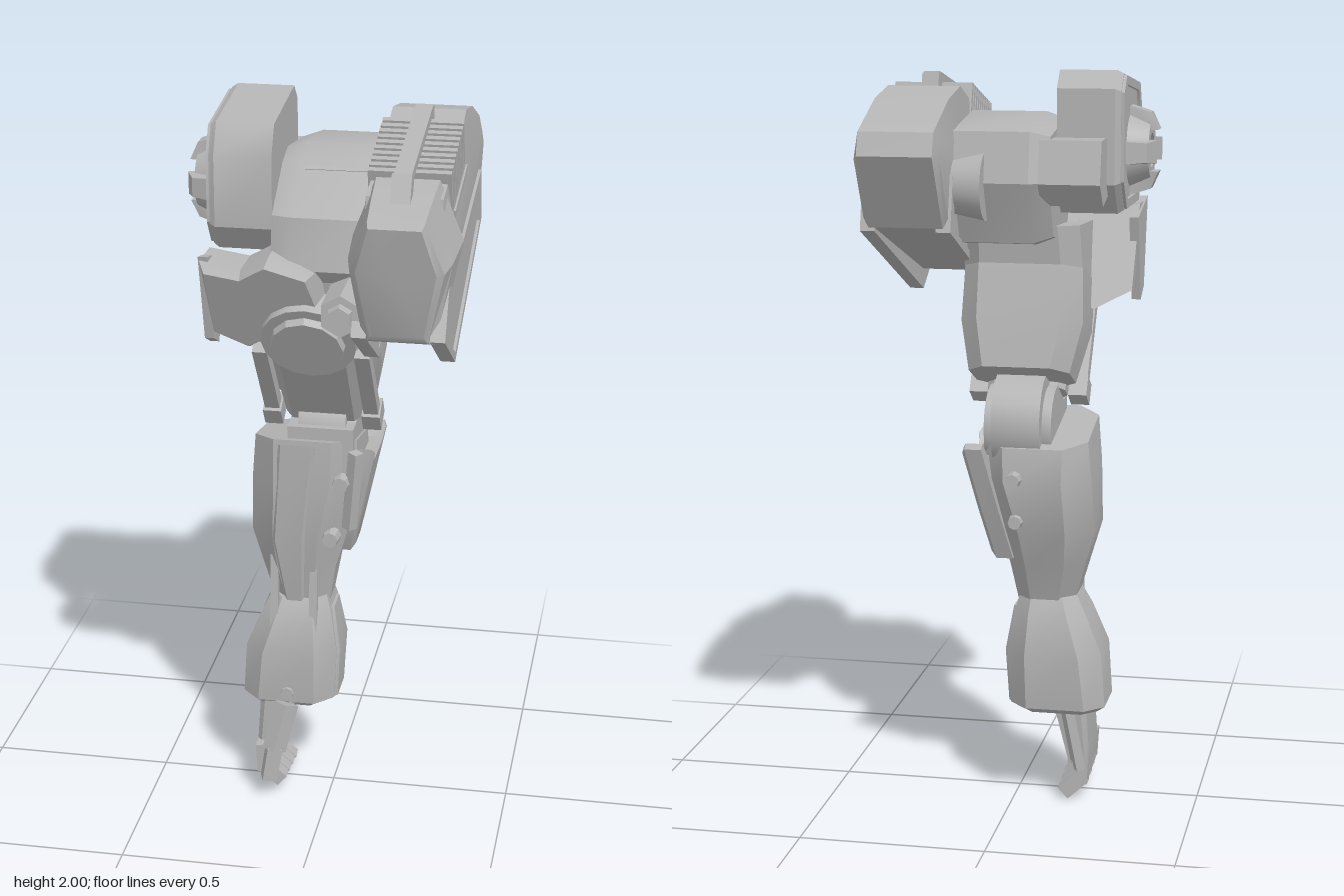
import * as THREE from 'three';
import { toCreasedNormals } from 'three/addons/utils/BufferGeometryUtils.js';

const V = (p) => new THREE.Vector3(...p);

export function createModel() {
  const root = new THREE.Group();
  root.name = 'mechanicalArm';
  const grey = new THREE.MeshStandardMaterial({ color: 0xb4b4b4 });
  grey.name = 'armourGrey';

  const add = (name, geo, pos = [0, 0, 0], rot = [0, 0, 0]) => {
    const m = new THREE.Mesh(toCreasedNormals(geo, 0.5), grey);
    m.name = name;
    m.position.set(...pos);
    m.rotation.set(...rot);
    root.add(m);
    return m;
  };
  const box = (name, x0, x1, y0, y1, z0, z1, rot) => add(name, new THREE.BoxGeometry(x1 - x0, y1 - y0, z1 - z0),
    [(x0 + x1) / 2, (y0 + y1) / 2, (z0 + z1) / 2], rot);
  // square bar from a to b
  const bar = (name, a, b, w, h) => {
    const m = add(name, new THREE.BoxGeometry(w, h, V(a).distanceTo(V(b))), V(a).add(V(b)).multiplyScalar(0.5).toArray());
    m.lookAt(V(b));
  };
  // cylinder along an axis
  const cyl = (name, axis, r0, r1, len, pos, sides = 24, rot) => {
    const g = new THREE.CylinderGeometry(r1, r0, len, sides);
    if (axis === 'x') g.rotateZ(-Math.PI / 2);
    if (axis === 'z') g.rotateX(Math.PI / 2);
    add(name, g, pos, rot);
  };
  // closed solid through rings of equal point count, turned outward by its volume
  const loft = (name, rings) => {
    const n = rings[0].length, tris = [];
    const mid = (r) => r.reduce((s, p) => s.add(V(p)), new THREE.Vector3()).divideScalar(n).toArray();
    const last = rings[rings.length - 1], a = mid(rings[0]), b = mid(last);
    for (let j = 0; j < n; j++) {
      const k = (j + 1) % n;
      for (let i = 0; i + 1 < rings.length; i++) {
        const p = rings[i], q = rings[i + 1];
        tris.push([p[j], p[k], q[k]], [p[j], q[k], q[j]]);
      }
      tris.push([a, rings[0][k], rings[0][j]], [b, last[j], last[k]]);
    }
    const vol = tris.reduce((s, t) => s + V(t[0]).dot(V(t[1]).cross(V(t[2]))), 0);
    if (vol < 0) tris.forEach((t) => t.reverse());
    const g = new THREE.BufferGeometry();
    g.setAttribute('position', new THREE.Float32BufferAttribute(tris.flat(2), 3));
    return add(name, g);
  };
  // chamfered horizontal section; front and back heights may differ
  const sec = (yF, yB, x0, x1, z0, z1, c) => [
    [x0 + c, z0], [x1 - c, z0], [x1, z0 + c], [x1, z1 - c], [x1 - c, z1], [x0 + c, z1], [x0, z1 - c], [x0, z0 + c],
  ].map(([x, z]) => [x, yB + (yF - yB) * (z - z0) / (z1 - z0), z]);
  // side profile of [z, y] points placed at x, scaled about its middle
  const side = (pts, x, s = 1) => {
    const c = pts.reduce((t, p) => [t[0] + p[0] / pts.length, t[1] + p[1] / pts.length], [0, 0]);
    return pts.map(([z, y]) => [x, c[1] + (y - c[1]) * s, c[0] + (z - c[0]) * s]);
  };
  // side profile with a hole, extruded towards -x from x
  const frame = (name, pts, hole, x, depth) => {
    const s = new THREE.Shape(pts.map((p) => new THREE.Vector2(...p)));
    s.holes.push(new THREE.Path(hole.map((p) => new THREE.Vector2(...p))));
    const g = new THREE.ExtrudeGeometry(s, { depth, bevelEnabled: false });
    add(name, g.rotateY(-Math.PI / 2), [x, 0, 0]);
  };

  // --- shoulder pod ---
  const podSide = [[0.3, 1.84], [0.0, 1.905], [-0.14, 1.955], [-0.28, 1.93], [-0.455, 1.86], [-0.475, 1.8], [-0.36, 1.61], [0.18, 1.43], [0.36, 1.5]];
  const podEdge = [[0.28, 1.7], [0.0, 1.77], [-0.14, 1.81], [-0.26, 1.83], [-0.4, 1.83], [-0.44, 1.79], [-0.35, 1.63], [0.18, 1.44], [0.33, 1.53]];
  loft('podBody', [side(podEdge, 0.12), side(podSide, 0.132), side(podSide, 0.325), side(podEdge, 0.34)]);
  const plate = [[0.40, 1.505], [0.335, 1.625], [0.25, 1.62], [-0.325, 1.745], [-0.36, 1.6], [0.18, 1.375]];
  const inset = [[0.362, 1.51], [0.315, 1.6], [0.25, 1.595], [-0.3, 1.715], [-0.318, 1.605], [0.178, 1.4]];
  for (const [x, xin] of [[0.348, 0.31], [0.15, 0.118]]) {
    frame('podSideFrame', plate, inset, x, 0.038);
    loft('podSidePanel', [side(inset, xin), side(inset, xin + 0.03)]);
  }
  // armoured nose, mirrored about x = 0.23
  const hex = (list) => [...list, ...list.slice().reverse().map(([x, y, z]) => [0.46 - x, y, z])];
  loft('podNose', [
    hex([[0.31, 1.875, 0.25], [0.37, 1.72, 0.235], [0.33, 1.51, 0.3]]),
    hex([[0.305, 1.85, 0.36], [0.36, 1.7, 0.37], [0.32, 1.49, 0.375]]),
    hex([[0.3, 1.82, 0.455], [0.347, 1.69, 0.43], [0.305, 1.5, 0.395]]),
    hex([[0.295, 1.81, 0.475], [0.33, 1.69, 0.447], [0.295, 1.515, 0.405]]),
  ]);
  // cooling slats wrapping the top edges, their sill, and the grab handle
  for (let i = 0; i < 10; i++) {
    const z = 0.205 - i * 0.026, top = 1.89 + i * 0.0075;
    box('coolingSlat', 0.125, 0.335, top - 0.12, top, z - 0.008, z + 0.008, [0.3, 0, 0]);
  }
  for (const x of [0.13, 0.33]) bar('slatSill', [x, 1.765, 0.17], [x, 1.82, -0.07], 0.02, 0.02);
  bar('podHandle', [0.228, 1.895, 0.33], [0.228, 1.975, -0.05], 0.045, 0.025);
  bar('handleFrontPost', [0.228, 1.83, 0.36], [0.228, 1.905, 0.325], 0.05, 0.04);
  bar('handleRearPost', [0.228, 1.92, -0.06], [0.228, 1.98, -0.045], 0.045, 0.04);

  // --- shoulder block ---
  const block = [[0.25, 1.62], [0.22, 1.75], [0.06, 1.86], [-0.02, 1.885], [-0.27, 1.85], [-0.295, 1.72], [-0.22, 1.56], [0.15, 1.5]];
  loft('shoulderBlock', [side(block, -0.125, 0.9), side(block, -0.075), side(block, 0.125)]);
  box('blockHatch', -0.06, 0.125, 1.842, 1.85, 0.055, 0.09, [0.48, 0, 0]);
  cyl('podMount', 'x', 0.09, 0.065, 0.12, [0.1, 1.71, -0.255]);
  const wedge = [[-0.295, 1.72], [-0.27, 1.83], [-0.16, 1.83], [-0.16, 1.68], [-0.24, 1.66]];
  loft('rearWedge', [side(wedge, -0.26), side(wedge, -0.1)]);

  // --- outer drum with hub ---
  const drum = [[0.12, 1.63], [0.17, 1.7], [0.17, 1.89], [0.13, 1.965], [-0.14, 2.0], [-0.185, 1.955], [-0.185, 1.71], [-0.12, 1.63]];
  loft('drum', [side(drum, -0.295, 0.95), side(drum, -0.28), side(drum, -0.13)]);
  const rim = (s) => side(drum, 0, s).map(([, y, z]) => [z, y]);
  frame('drumRim', rim(0.93), rim(0.8), -0.285, 0.018);
  const hubY = 1.785, hubZ = 0.015;
  const tube = new THREE.LatheGeometry([[0.06, 0], [0.1, 0], [0.075, 0.06], [0.045, 0.06], [0.04, 0]].map((p) => new THREE.Vector2(...p)), 24);
  add('hubRing', tube, [-0.29, hubY, hubZ], [0, 0, Math.PI / 2]);
  for (let i = 0; i < 4; i++) {
    const a = i * Math.PI / 2, c = Math.cos(a), s = Math.sin(a);
    const at = (x, r, w) => [x, hubY + c * r - s * w, hubZ + s * r + c * w];
    loft('hubFin', [[at(-0.285, 0.05, -0.03), at(-0.285, 0.05, 0.03), at(-0.285, 0.12, 0.03), at(-0.285, 0.12, -0.03)],
      [at(-0.37, 0.055, -0.03), at(-0.37, 0.055, 0.03), at(-0.35, 0.1, 0.025), at(-0.35, 0.1, -0.025)]]);
  }

  // --- front shoulder armour, raked back towards its lower edge ---
  const layer = (pts, z, s = 1) => side(pts, z, s).map(([w, y, x]) => [x, y, w + (y - 1.62) * 0.5]);
  const guard = [[-0.305, 1.63], [-0.2, 1.61], [-0.12, 1.66], [0.0, 1.62], [0.03, 1.5], [-0.14, 1.4], [-0.2, 1.36], [-0.3, 1.41]];
  loft('frontGuard', [layer(guard, 0.12), layer(guard, 0.24), layer(guard, 0.3, 0.85)]);
  const spike = [[0.24, 1.64], [0.18, 1.4], [0.12, 1.37], [0.06, 1.6]];
  loft('sideGuard', [side(spike, -0.31), side(spike, -0.285)]);
  // --- tilted shoulder joint ---
  cyl('shoulderJoint', 'z', 0.14, 0.125, 0.26, [-0.03, 1.475, 0.1], 16, [0.5, 0, 0]);
  cyl('jointCap', 'z', 0.1, 0.095, 0.03, [-0.03, 1.41, 0.22], 12, [0.5, 0, 0]);
  loft('jointShell', [sec(1.37, 1.44, -0.19, 0.13, -0.15, 0.17, 0.05), sec(1.58, 1.6, -0.18, 0.13, -0.17, 0.22, 0.05)]);
  cyl('boltHousing', 'z', 0.06, 0.055, 0.2, [0.082, 1.55, 0.28], 6);
  cyl('boltHead', 'z', 0.035, 0.03, 0.02, [0.082, 1.55, 0.39], 6);

  // --- upper arm ---
  loft('upperArm', [
    sec(1.41, 1.5, -0.19, 0.125, -0.165, 0.13, 0.045),
    sec(1.28, 1.36, -0.195, 0.13, -0.2, 0.05, 0.05),
    sec(1.15, 1.235, -0.165, 0.105, -0.225, -0.03, 0.045),
  ]);
  loft('upperArmFrontPlate', [sec(1.37, 1.42, -0.15, 0.09, 0.07, 0.18, 0.03), sec(1.115, 1.16, -0.135, 0.075, -0.09, -0.01, 0.02)]);
  for (const s of [-1, 1]) {
    const x = -0.03 + s * 0.135;
    bar('strutRod', [x, 1.38, 0.17], [x, 1.15, 0.0], 0.04, 0.035);
    box('strutFoot', x - 0.025, x + 0.025, 1.11, 1.17, -0.045, 0.02, [0.6, 0, 0]);
  }

  // --- elbow ---
  cyl('elbowHood', 'x', 0.135, 0.135, 0.13, [-0.03, 1.07, -0.105]);
  for (const x of [-0.105, 0.045]) cyl('elbowDisc', 'x', 0.105, 0.105, 0.03, [x, 1.06, -0.1]);
  box('elbowPost', -0.12, 0.06, 0.98, 1.11, -0.12, 0.045);

  // --- forearm ---
  loft('forearm', [
    sec(1.08, 1.02, -0.215, 0.065, -0.235, 0.07, 0.06),
    sec(0.95, 0.93, -0.225, 0.07, -0.25, 0.075, 0.07),
    sec(0.78, 0.78, -0.23, 0.035, -0.215, 0.065, 0.07),
    sec(0.68, 0.68, -0.2, 0.005, -0.17, 0.045, 0.05),
    sec(0.56, 0.56, -0.165, -0.015, -0.13, 0.025, 0.04),
  ]);
  loft('forearmFrontPlate', [
    sec(1.07, 1.04, -0.14, -0.04, 0.02, 0.083, 0.008),
    sec(0.78, 0.78, -0.16, -0.07, 0.02, 0.073, 0.008),
    sec(0.58, 0.58, -0.13, -0.08, 0.0, 0.038, 0.005),
  ]);
  const shield = [[-0.02, 1.03], [-0.045, 0.99], [-0.215, 0.99], [-0.24, 1.03], [-0.27, 1.02], [-0.215, 0.84], [-0.16, 0.7], [-0.07, 0.7], [-0.025, 0.8]];
  const lean = (pts, off, s = 1) => side(pts, 0, s).map(([, y, z]) => [off + (y - 0.7) * 0.2, y, z]);
  loft('forearmSideShield', [lean(shield, -0.01), lean(shield, 0.035), lean(shield, 0.045, 0.9)]);
  bar('forearmRail', [0.07, 1.05, 0.055], [0.05, 0.82, 0.04], 0.03, 0.03);
  for (const [x, y, z] of [[0.03, 0.96, 0.06], [0.0, 0.79, 0.05]]) cyl('forearmBolt', 'z', 0.026, 0.022, 0.04, [x, y, z], 8);
  for (const [y, z] of [[0.94, -0.25], [0.82, -0.22]]) cyl('rearBolt', 'z', 0.018, 0.024, 0.05, [-0.03, y, z], 8);
  for (const x of [-0.16, -0.05]) bar('wristRod', [x, 0.72, 0.03], [x, 0.5, 0.05], 0.022, 0.022);

  // --- wrist cuff ---
  loft('wristCuff', [
    sec(0.59, 0.59, -0.175, -0.02, -0.135, 0.035, 0.035),
    sec(0.54, 0.54, -0.2, -0.005, -0.155, 0.06, 0.045),
    sec(0.43, 0.43, -0.245, 0.012, -0.175, 0.083, 0.055),
    sec(0.28, 0.28, -0.255, 0.005, -0.162, 0.075, 0.05),
    sec(0.265, 0.265, -0.235, -0.02, -0.145, 0.06, 0.04),
  ]);
  loft('cuffSidePlate', [sec(0.55, 0.55, -0.04, 0.0, -0.1, 0.0, 0.01), sec(0.43, 0.43, -0.04, 0.02, -0.12, 0.025, 0.01), sec(0.28, 0.28, -0.04, 0.013, -0.105, 0.02, 0.01)]);
  cyl('cuffBolt', 'z', 0.022, 0.018, 0.03, [-0.12, 0.31, 0.07], 8);

  // --- hand ---
  loft('handBack', [
    sec(0.29, 0.29, -0.2, -0.13, -0.11, 0.07, 0.015),
    sec(0.15, 0.15, -0.208, -0.175, -0.1, 0.075, 0.012),
    sec(0.09, 0.09, -0.205, -0.175, -0.09, 0.07, 0.01),
  ]);
  for (let i = 0; i < 4; i++) {
    const z = 0.085 - i * 0.05, drop = i * 0.007;
    bar('palmRod', [-0.11, 0.28, z * 0.8], [-0.16, 0.1, z], 0.014, 0.018);
    bar('fingerKnuckle', [-0.185, 0.15, z], [-0.18, 0.065 - drop, z], 0.042, 0.045);
    bar('fingerTip', [-0.19, 0.085 - drop, z], [-0.135, 0.035 - drop, z - 0.005], 0.042, 0.04);
  }
  bar('thumbBase', [-0.12, 0.28, 0.085], [-0.15, 0.15, 0.125], 0.045, 0.05);
  bar('thumbTip', [-0.15, 0.16, 0.125], [-0.165, 0.06, 0.13], 0.04, 0.042);
  bar('outerHandPlate', [-0.15, 0.26, -0.1], [-0.18, 0.09, -0.085], 0.05, 0.025);

  return root;
}
